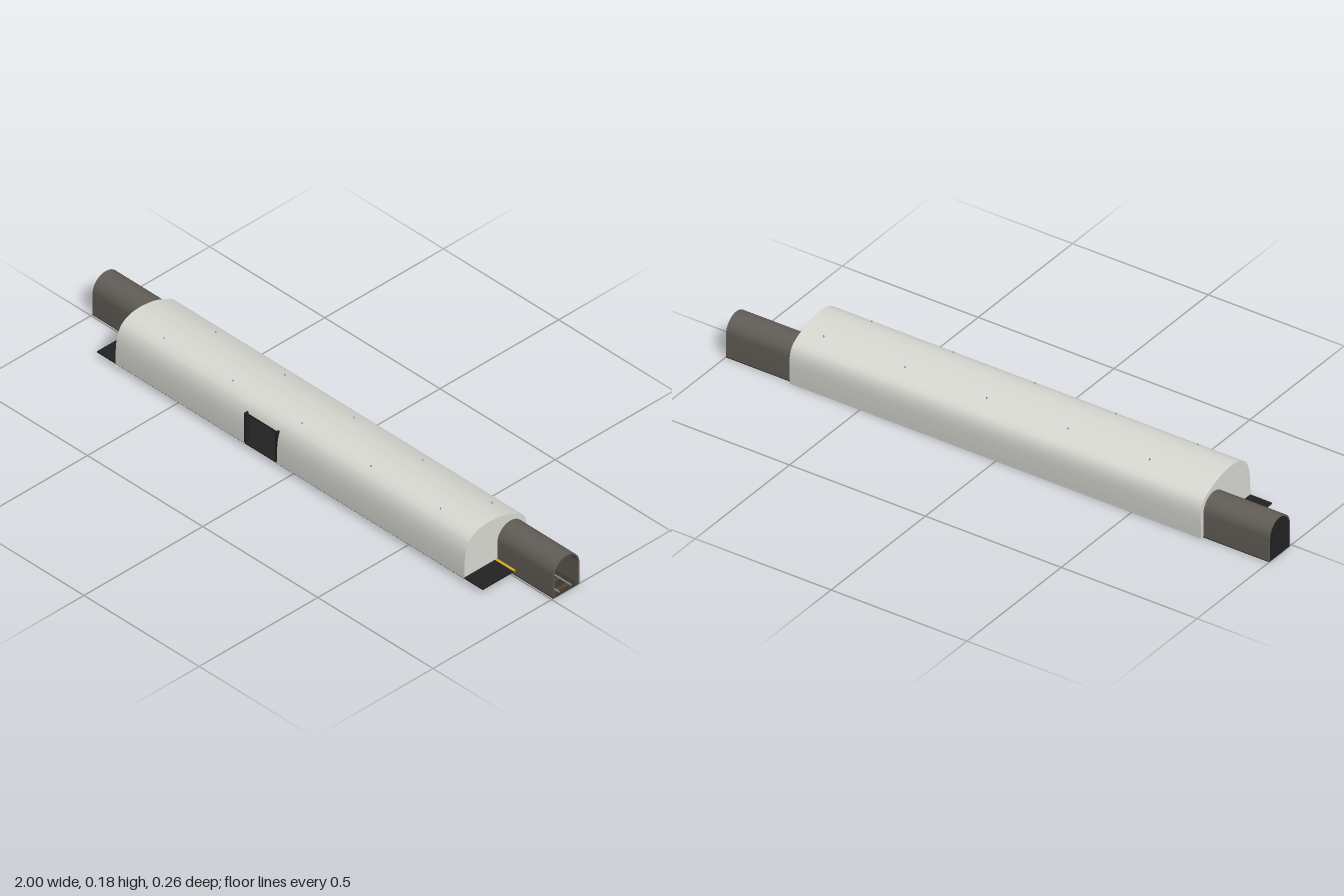
import * as THREE from 'three';
import { toCreasedNormals } from 'three/addons/utils/BufferGeometryUtils.js';

const mat = (name, color, side = THREE.FrontSide) => {
  const m = new THREE.MeshStandardMaterial({ color, side });
  m.name = name;
  return m;
};
const M = {
  shell: mat('pale concrete', 0xd8d9d2, THREE.DoubleSide),
  tunnel: mat('tunnel grey', 0x625d57, THREE.DoubleSide),
  dark: mat('charcoal', 0x222222),
  track: mat('track bed', 0x38382c),
  yellow: mat('warning yellow', 0xd9a520),
  rail: mat('rail steel', 0x9a9a98),
  sleeper: mat('sleeper brown', 0x5a4036),
};

const HALL = 0.757, END = 1, PLAT = 0.837, Y = 0.0195;
const DOOR = [-0.195, -0.06], DOOR_TOP = 0.125;
const TZ = -0.062, TR = 0.055, SPRING = 0.081;

export function createModel() {
  const root = new THREE.Group();
  root.name = 'undergroundStation';
  const add = (name, geo, material, x = 0, y = 0, z = 0) => {
    const mesh = new THREE.Mesh(geo, material);
    mesh.name = name;
    mesh.position.set(x, y, z);
    root.add(mesh);
    return mesh;
  };
  const box = (name, w, h, d, material, x, y, z) =>
    add(name, new THREE.BoxGeometry(w, h, d), material, x, y, z);

  // Hall cross-section as (z, y), from front foot over the roof to back foot
  const profile = new THREE.SplineCurve([
    [0.132, 0], [0.132, 0.05], [0.129, 0.095], [0.121, 0.128], [0.106, 0.153],
    [0.077, 0.171], [0.04, 0.178], [0, 0.176], [-0.04, 0.168], [-0.08, 0.152],
    [-0.11, 0.135], [-0.124, 0.115], [-0.13, 0.085], [-0.13, 0.04], [-0.128, 0],
  ].map(([z, y]) => new THREE.Vector2(z, y))).getPoints(84);

  // Sheet swept along x, beginning at height y0 on the front side
  const sweep = (x0, x1, y0) => {
    const first = profile.findIndex((p) => p.y >= y0);
    const pts = profile.slice(first);
    if (first > 0) {
      const a = profile[first - 1], b = profile[first];
      pts.unshift(a.clone().lerp(b, (y0 - a.y) / (b.y - a.y)));
    }
    const pos = [], idx = [];
    pts.forEach((p, i) => {
      pos.push(x0, p.y, p.x, x1, p.y, p.x);
      if (i) {
        const k = 2 * i;
        idx.push(k - 2, k - 1, k, k - 1, k + 1, k);
      }
    });
    const g = new THREE.BufferGeometry();
    g.setAttribute('position', new THREE.Float32BufferAttribute(pos, 3));
    g.setIndex(idx);
    g.computeVertexNormals();
    return g;
  };
  add('hallShellRight', sweep(-HALL, DOOR[0], 0.018), M.shell);
  add('hallShellLeft', sweep(DOOR[1], HALL, 0.018), M.shell);
  add('hallShellOverDoor', sweep(DOOR[0], DOOR[1], DOOR_TOP), M.shell);

  // Horseshoe outline in (z, y), from front foot to back foot
  const arch = (r) => {
    const pts = [new THREE.Vector2(TZ + r, 0)];
    for (let i = 0; i <= 32; i++) {
      const a = Math.PI * i / 32;
      pts.push(new THREE.Vector2(TZ + r * Math.cos(a), SPRING + r * Math.sin(a)));
    }
    pts.push(new THREE.Vector2(TZ - r, 0));
    return pts;
  };
  const outer = arch(TR), inner = arch(TR - 0.005);

  // End walls with the tunnel mouth cut out
  const wallShape = new THREE.Shape([...profile, ...outer.slice().reverse()]);
  const wall = new THREE.ShapeGeometry(wallShape).rotateY(-Math.PI / 2);
  // Tunnel lining at each end
  const ring = new THREE.Shape([...outer, ...inner.slice().reverse()]);
  const lining = toCreasedNormals(
    new THREE.ExtrudeGeometry(ring, { depth: END - HALL, bevelEnabled: false })
      .rotateY(-Math.PI / 2).translate((END - HALL) / 2, 0, 0), 0.6);
  for (const s of [-1, 1]) {
    add('endWall', wall, M.shell, s * HALL);
    add('tunnelTube', lining, M.tunnel, s * (END + HALL) / 2);
  }
  // Dark closure at the far end of the line
  const cap = new THREE.ExtrudeGeometry(new THREE.Shape(inner), { depth: 0.004, bevelEnabled: false });
  add('tunnelEndCap', cap.rotateY(-Math.PI / 2), M.dark, -END + 0.004);

  // Track bed, sleepers and rails
  box('trackBed', 2 * END, 0.003, 0.112, M.track, 0, 0.0015, TZ);
  const sleepers = 50;
  const sleeperMesh = new THREE.InstancedMesh(
    new THREE.BoxGeometry(0.012, 0.002, 0.07), M.sleeper, sleepers);
  sleeperMesh.name = 'sleepers';
  for (let i = 0; i < sleepers; i++) {
    sleeperMesh.setMatrixAt(i, new THREE.Matrix4().makeTranslation(-0.98 + i * 0.04, 0.004, TZ));
  }
  root.add(sleeperMesh);
  for (const s of [-1, 1]) box('rail', 1.99, 0.004, 0.003, M.rail, 0, 0.007, TZ + s * 0.025);

  // Platform with its warning strip
  box('platform', 2 * PLAT, 0.005, 0.137, M.dark, 0, Y, 0.0635);
  box('platformFace', 2 * HALL, 0.017, 0.003, M.tunnel, 0, 0.0085, -0.0065);
  box('warningStrip', 2 * PLAT, 0.0052, 0.01, M.yellow, 0, Y + 0.0002, -0.001);

  // Entrance frame
  const jambH = 0.11;
  for (const x of DOOR) box('entranceJamb', 0.007, jambH, 0.018, M.dark, x, 0.022 + jambH / 2, 0.1235);
  box('entranceLintel', DOOR[1] - DOOR[0], 0.004, 0.012, M.dark, (DOOR[0] + DOOR[1]) / 2, DOOR_TOP, 0.119);

  // Sign panel on the far wall, facing the entrance
  box('wallSign', 0.066, 0.018, 0.004, M.dark, -0.14, 0.071, -0.125);

  // Ceiling lamp stems that just show through the roof
  const stem = new THREE.CylinderGeometry(0.002, 0.002, 0.012, 8);
  for (let i = 0; i < 5; i++) {
    const x = -0.6 + i * 0.3;
    add('lampStem', stem, M.rail, x, 0.168, 0.08);
    add('lampStem', stem, M.rail, x + 0.08, 0.16, -0.06);
  }
  return root;
}
